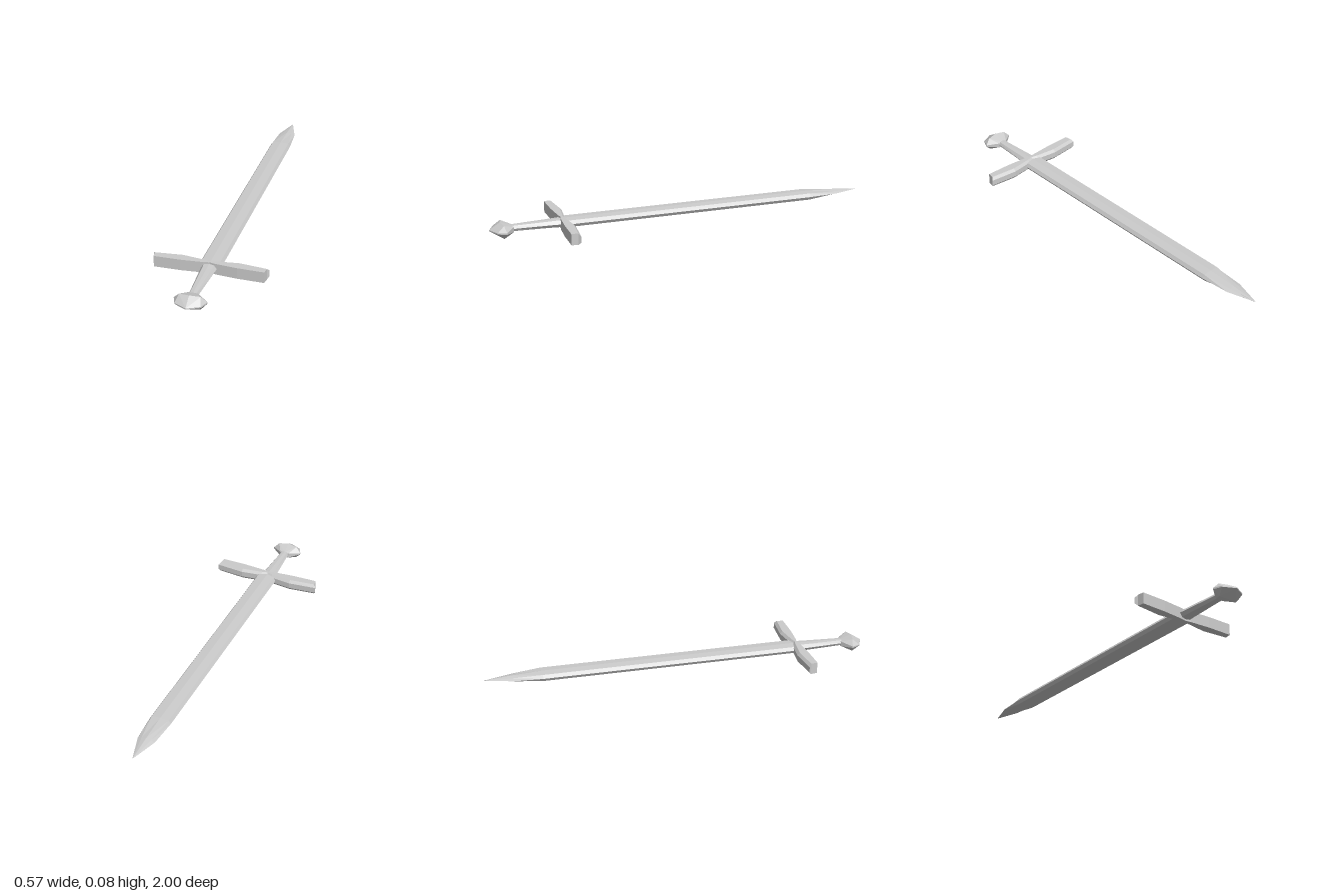
import * as THREE from 'three';
import { ConvexGeometry } from 'three/addons/geometries/ConvexGeometry.js';

const material = new THREE.MeshStandardMaterial({ color: 0xcccccc, flatShading: true });

// Skin a list of equal-length rings (each counterclockwise about the direction of travel) and cap both ends.
function loft(rings) {
  const n = rings[0].length, last = rings.length - 1, index = [];
  for (let i = 0; i < last; i++) {
    for (let j = 0; j < n; j++) {
      const k = (j + 1) % n;
      const a = i * n + j, b = i * n + k, c = b + n, d = a + n;
      index.push(a, b, c, a, c, d);
    }
  }
  for (let j = 1; j < n - 1; j++) {
    index.push(0, j + 1, j, last * n, last * n + j, last * n + j + 1);
  }
  const geometry = new THREE.BufferGeometry();
  geometry.setAttribute('position', new THREE.Float32BufferAttribute(rings.flat(2), 3));
  geometry.setIndex(index);
  const flat = geometry.toNonIndexed();
  flat.computeVertexNormals();
  return flat;
}

// Eight-sided section in the xy plane: side edges, shoulders and a middle ridge.
function section(z, w, h, y, shoulderX, shoulderY) {
  const sx = w * shoulderX, sy = h * shoulderY;
  return [[w, 0], [sx, sy], [0, h], [-sx, sy], [-w, 0], [-sx, -sy], [0, -h], [sx, -sy]]
    .map(([px, py]) => [px, y + py, z]);
}

function part(name, geometry) {
  const mesh = new THREE.Mesh(geometry, material);
  mesh.name = name;
  return mesh;
}

function createBlade() {
  return loft([
    section(-1, 0.0005, 0.0005, 0.044, 0.8, 0.8),
    section(-0.86, 0.044, 0.012, 0.044, 0.55, 0.6),
    section(-0.71, 0.055, 0.02, 0.044, 0.8, 0.85),
    section(0.63, 0.055, 0.02, 0.044, 0.8, 0.85),
  ]);
}

// Crossguard: bevelled on the blade side, with a waist in the middle and slanted ends.
function createGuard() {
  const y = 0.0425, h = 0.029, tip = 0.015;
  // x on the grip side, x on the blade side, z of the grip side, z of the blade side
  const half = [
    [0.03, 0.03, 0.646, 0.611],
    [0.14, 0.14, 0.655, 0.597],
    [0.272, 0.287, 0.657, 0.611],
  ];
  const stations = [
    ...half.map(([a, b, f, r]) => [-a, -b, f, r]).reverse(),
    [0, 0, 0.64, 0.618],
    ...half,
  ];
  return loft(stations.map(([xf, xb, zf, zb]) => {
    const zm = zb + 0.012, xm = xf + (xb - xf) * 0.35;
    return [
      [xm, y + h, zm], [xf, y + h, zf], [xf, y - h, zf],
      [xm, y - h, zm], [xb, y - tip, zb], [xb, y + tip, zb],
    ];
  }));
}

function createGrip() {
  return loft([
    section(0.63, 0.04, 0.021, 0.043, 0.65, 0.9),
    section(0.68, 0.036, 0.019, 0.043, 0.65, 0.9),
    section(0.9, 0.022, 0.015, 0.042, 0.65, 0.9),
  ]);
}

// Pommel: faceted nut with a thin rim around the front and sides.
function createPommel() {
  const y = 0.039, points = [];
  const quarter = [
    [0, 0.0385, 0.945], [0.052, 0.033, 0.935],
    [0.08, 0.004, 0.926], [0.062, 0.003, 0.97], [0, 0.003, 1],
    [0.024, 0.013, 0.882], [0, 0.016, 0.882],
  ];
  for (const [px, py, pz] of quarter) {
    for (const sx of px ? [-1, 1] : [1]) {
      for (const sy of [-1, 1]) points.push(new THREE.Vector3(sx * px, y + sy * py, pz));
    }
  }
  return new ConvexGeometry(points);
}

export function createModel() {
  const sword = new THREE.Group();
  sword.name = 'sword';
  sword.add(
    part('blade', createBlade()),
    part('crossguard', createGuard()),
    part('grip', createGrip()),
    part('pommel', createPommel()),
  );
  return sword;
}
